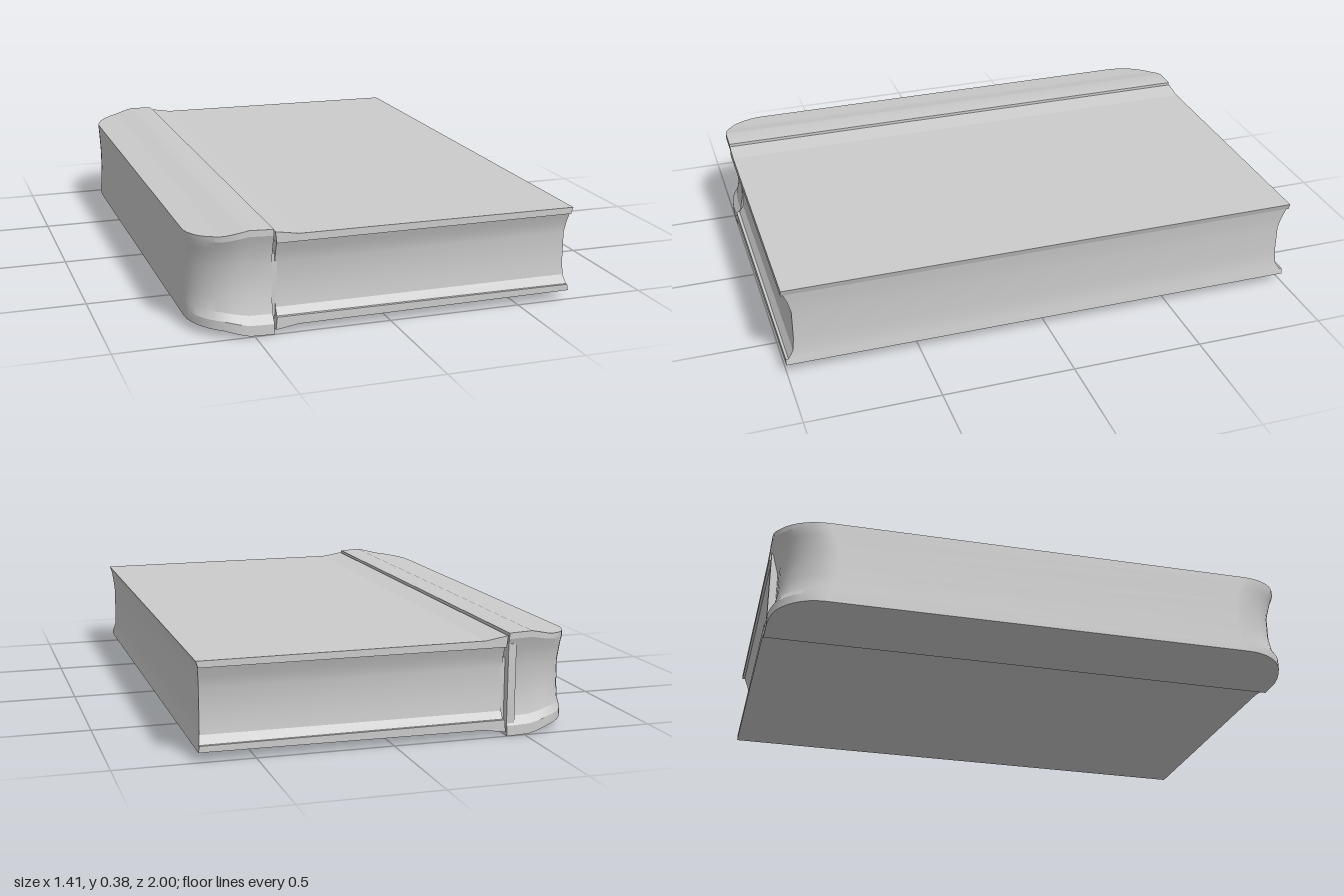
import * as THREE from 'three';
import { toCreasedNormals } from 'three/addons/utils/BufferGeometryUtils.js';

const material = new THREE.MeshStandardMaterial({ color: 0xcccccc, side: THREE.DoubleSide });

// Piecewise linear lookup through [x, y] points
function lookup(points, x) {
  for (let i = 1; i < points.length; i++) {
    const [x0, y0] = points[i - 1], [x1, y1] = points[i];
    if (x <= x1) return y0 + (y1 - y0) * Math.max(0, (x - x0) / (x1 - x0));
  }
  return points[points.length - 1][1];
}

// Box whose grid lines sit at xs and heights vs (0..1), reshaped by rule(x, v, sideZ)
function shapedBox(name, xs, vs, rule) {
  const geo = new THREE.BoxGeometry(1, 1, 1, xs.length - 1, vs.length - 1, 1);
  const p = geo.attributes.position;
  for (let i = 0; i < p.count; i++) {
    const x = xs[Math.round((p.getX(i) + 0.5) * (xs.length - 1))];
    const v = vs[Math.round((p.getY(i) + 0.5) * (vs.length - 1))];
    p.setXYZ(i, ...rule(x, v, Math.sign(p.getZ(i))));
  }
  const mesh = new THREE.Mesh(toCreasedNormals(geo, 0.35), material);
  mesh.name = name;
  return mesh;
}

// Board with an x-y outline running the whole length of the book
function board(name, outline) {
  const shape = new THREE.Shape(outline.map(([x, y]) => new THREE.Vector2(x, y)));
  const geo = new THREE.ExtrudeGeometry(shape, { depth: 2, bevelEnabled: false });
  const mesh = new THREE.Mesh(geo.translate(0, 0, -1), material);
  mesh.name = name;
  return mesh;
}

function box(name, x0, x1, y0, y1, z0, z1) {
  const mesh = new THREE.Mesh(new THREE.BoxGeometry(x1 - x0, y1 - y0, z1 - z0), material);
  mesh.position.set((x0 + x1) / 2, (y0 + y1) / 2, (z0 + z1) / 2);
  mesh.name = name;
  return mesh;
}

export function createModel() {
  const book = new THREE.Group();
  book.name = 'book';

  // Spine: rounded corners in plan, swelling towards the hinge, hollowed ends
  const left = -0.707, radius = 0.19;
  const spineTop = [[left, 0.355], [-0.6, 0.366], [-0.52, 0.385], [-0.43, 0.381]];
  const spineBottom = [[left, 0.034], [-0.6, 0.025], [-0.52, 0.003], [-0.43, 0]];
  const hollow = [[0, 0], [0.1, 0], [0.18, 0.6], [0.35, 1], [0.65, 1], [0.85, 0.4], [0.94, 0], [1, 0]];
  const levels = hollow.map(([v]) => v);
  const spineXs = [];
  for (let i = 0; i <= 10; i++) spineXs.push(left + radius * (1 - Math.cos(i / 10 * Math.PI / 2)));
  spineXs.push(-0.43);
  book.add(shapedBox('spine', spineXs, levels, (x, v, side) => {
    const t = Math.max(0, radius - (x - left));
    const end = 1 - radius + Math.sqrt(Math.max(0, radius * radius - t * t));
    const y0 = lookup(spineBottom, x), y1 = lookup(spineTop, x);
    return [x, y0 + (y1 - y0) * v, side * (end - 0.033 * lookup(hollow, v))];
  }));
  book.add(box('spineEndPost', -0.46, -0.43, 0.04, 0.34, -0.995, -0.95));

  // Hinge strip at the bottom of the groove between spine and covers
  book.add(box('hinge', -0.435, -0.41, 0.03, 0.285, -0.965, 0.965));

  // Covers, lifted slightly where they meet the hinge
  book.add(board('topCover',
    [[-0.42, 0.33], [0.698, 0.33], [0.706, 0.354], [-0.34, 0.358], [-0.425, 0.372]]));
  book.add(board('bottomCover',
    [[-0.425, 0.016], [-0.34, 0.029], [0.702, 0.035], [0.698, 0.058], [-0.42, 0.062]]));

  // Page block, hollowed along the fore edge and both ends
  const pages = [[0, 0], [0.12, 0.8], [0.3, 1], [0.7, 1], [0.85, 0.6], [1, 0]];
  book.add(shapedBox('pages', [-0.418, 0.7], pages.map(([v]) => v), (x, v, side) => {
    const inset = lookup(pages, v);
    return [x > 0 ? 0.699 - 0.008 * inset : x, 0.055 + 0.28 * v, side * (0.992 - 0.027 * inset)];
  }));

  return book;
}
